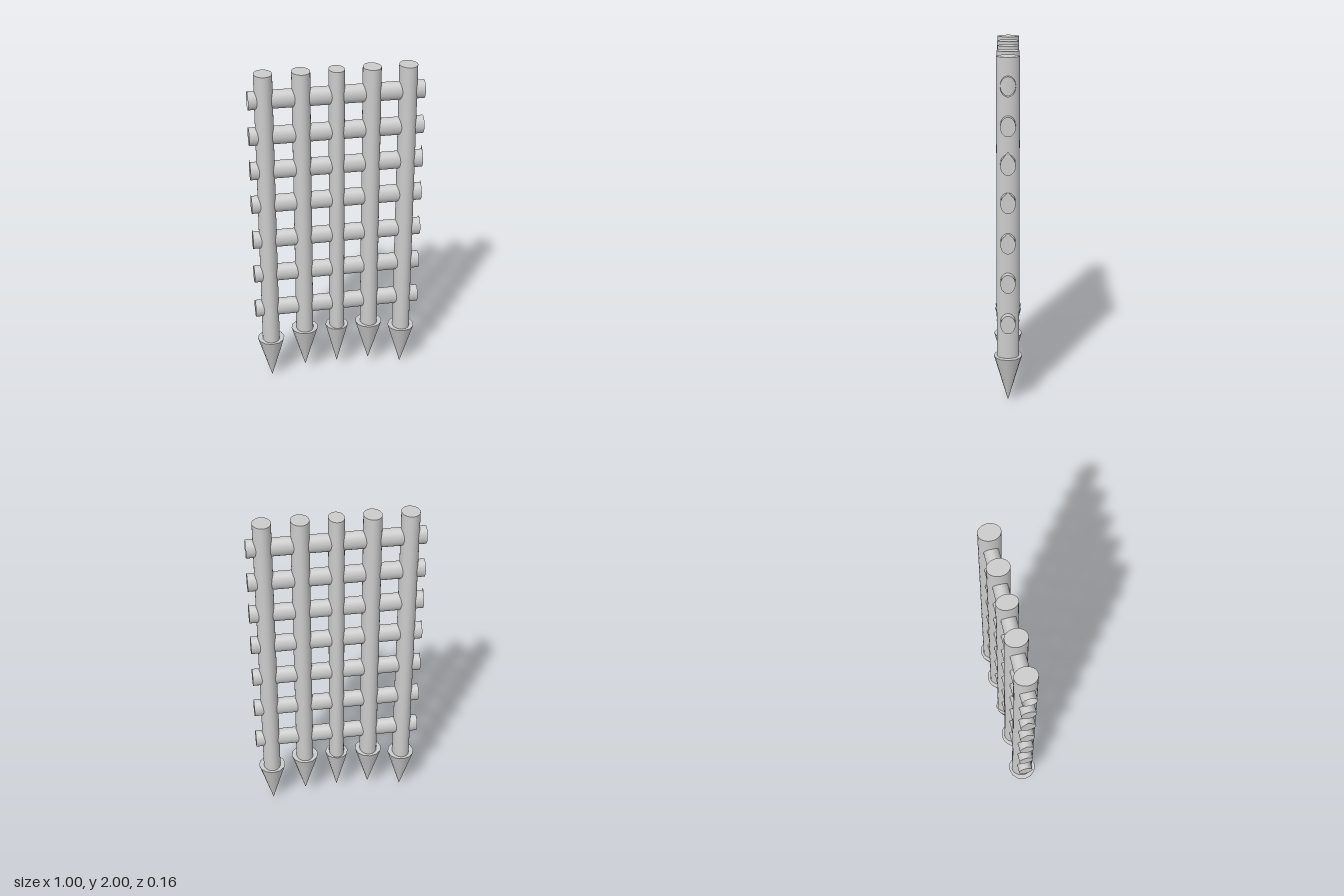
import * as THREE from 'three';

const material = new THREE.MeshStandardMaterial({ color: 0xcccccc });
const thin = new THREE.MeshStandardMaterial({ color: 0xcccccc, side: THREE.DoubleSide });

function add(parent, name, geometry, mat = material) {
  const mesh = new THREE.Mesh(geometry, mat);
  mesh.name = name;
  parent.add(mesh);
  return mesh;
}

// Upright oval post with a cone spike under it
function createPost({ x, rx, rz, spikeRadius, spikeTop, spikeTip }) {
  const post = new THREE.Group();
  post.name = 'post';
  post.position.x = x;

  const height = 2 - spikeTop;
  const shaft = add(post, 'shaft', new THREE.CylinderGeometry(1, 1, height, 28));
  shaft.scale.set(rx, 1, rz);
  shaft.position.y = spikeTop + height / 2;

  const length = spikeTop - spikeTip;
  const spike = add(post, 'spike', new THREE.ConeGeometry(spikeRadius, length, 12));
  spike.rotation.x = Math.PI;
  spike.position.y = spikeTip + length / 2;
  return post;
}

// Flat oval end, optionally drawn up to a point
function endShape(ry, rz, peak) {
  const points = [];
  const steps = 28;
  for (let i = 0; i < steps; i++) {
    const a = Math.PI / 2 + (i / steps) * Math.PI * 2;
    points.push(new THREE.Vector2(Math.cos(a) * rz, i === 0 ? ry + peak : Math.sin(a) * ry));
    // leave a gap beside the point so its sides run straight
    if (peak && (i === 0 || i === steps - 4)) i += 3;
  }
  return new THREE.Shape(points);
}

// Horizontal oval rail across all posts
function createRail({ y, peak = 0, open = false }) {
  const ry = 0.054, rz = 0.042, half = 0.5;
  const rail = new THREE.Group();
  rail.name = 'rail';
  rail.position.y = y;

  const tube = new THREE.CylinderGeometry(1, 1, half * 2, 28, 1, true);
  tube.rotateZ(Math.PI / 2).scale(1, ry, rz);
  add(rail, 'railTube', tube, thin);

  if (!open) {
    for (const side of [-1, 1]) {
      const cap = add(rail, 'railEnd', new THREE.ShapeGeometry(endShape(ry, rz, peak)), thin);
      cap.rotation.y = side * Math.PI / 2;
      cap.position.x = side * half;
    }
  }
  return rail;
}

export function createModel() {
  const gate = new THREE.Group();
  gate.name = 'spikedGrate';

  // Outer posts hang lowest, the middle one is slimmest
  const outer = { rx: 0.052, rz: 0.064, spikeRadius: 0.082, spikeTop: 0.28, spikeTip: 0 };
  const inner = { ...outer, spikeTop: 0.333, spikeTip: 0.055 };
  const middle = { ...inner, rx: 0.045, rz: 0.061, spikeRadius: 0.07 };
  const posts = [[-0.41, outer], [-0.2, inner], [0, middle], [0.2, inner], [0.407, outer]];
  for (const [x, size] of posts) gate.add(createPost({ x, ...size }));

  // Rails from top to bottom
  const rails = [
    { y: 1.848, open: true },
    { y: 1.633 },
    { y: 1.42, peak: 0.026 },
    { y: 1.205, peak: 0.014 },
    { y: 0.973, peak: 0.014 },
    { y: 0.742 },
    { y: 0.5 },
  ];
  for (const rail of rails) gate.add(createRail(rail));

  return gate;
}
